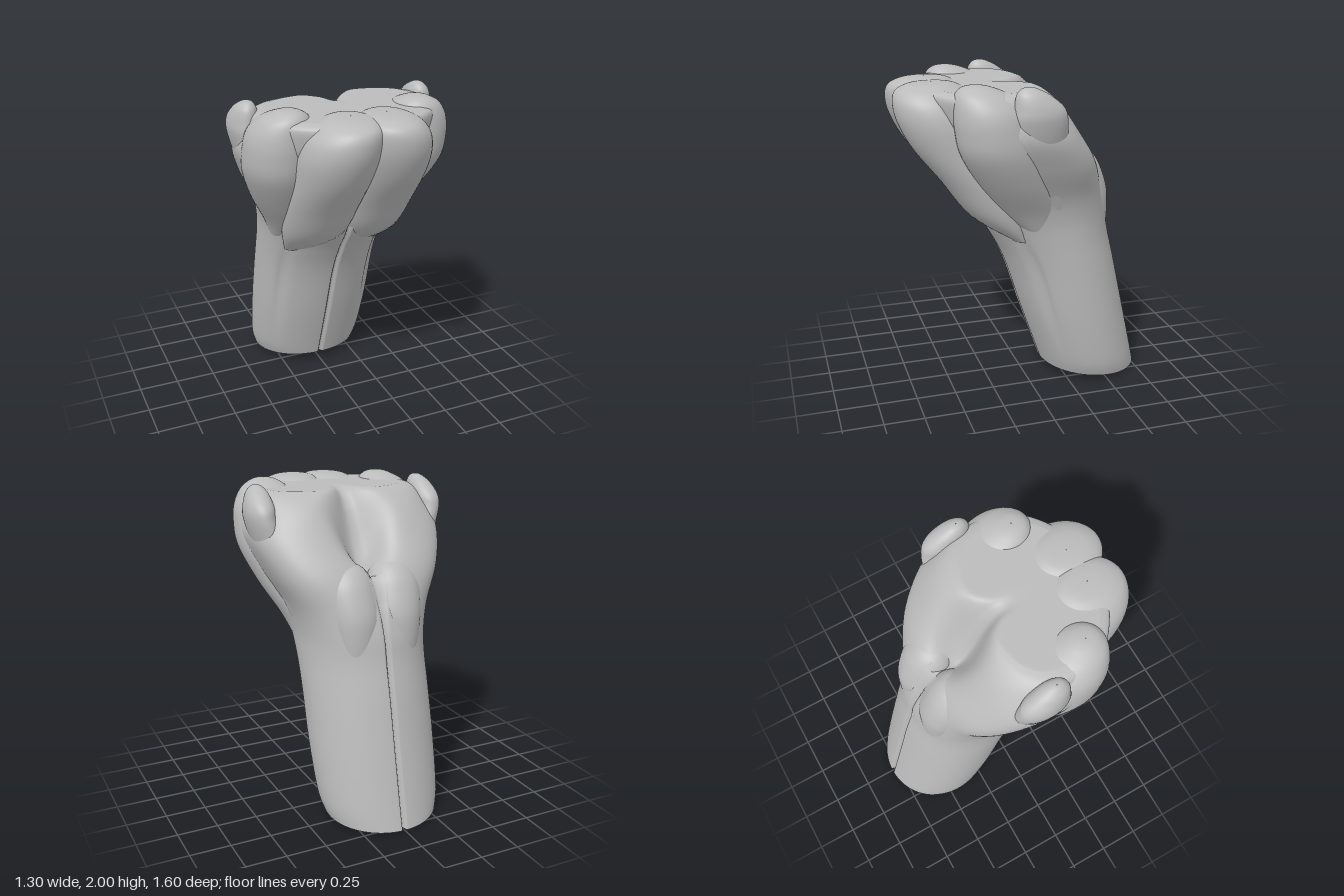
import * as THREE from 'three';

const SEG = 320;
const clayGrey = new THREE.MeshStandardMaterial({ color: 0xbbbbbb });
clayGrey.name = 'clayGrey';

// Smooth surface through closed rings of points, ordered upwards
function loft(rings) {
  const n = rings[0].length, pos = [], idx = [];
  rings.forEach(r => r.forEach(p => pos.push(p.x, p.y, p.z)));
  for (let j = 0; j < rings.length - 1; j++) {
    for (let i = 0; i < n; i++) {
      const a = j * n + i, b = j * n + (i + 1) % n;
      idx.push(a, a + n, b, b, a + n, b + n);
    }
  }
  const g = new THREE.BufferGeometry();
  g.setAttribute('position', new THREE.Float32BufferAttribute(pos, 3));
  g.setIndex(idx);
  g.computeVertexNormals();
  return g;
}

// Catmull-Rom through rows of numbers
function sampleRows(rows, steps) {
  const out = [], last = rows.length - 1;
  for (let s = 0; s <= steps; s++) {
    const u = s / steps * last, k = Math.min(Math.floor(u), last - 1), t = u - k;
    const row = i => rows[Math.max(0, Math.min(last, i))];
    out.push(rows[0].map((_, c) => {
      const [a, b, d, e] = [row(k - 1)[c], row(k)[c], row(k + 1)[c], row(k + 2)[c]];
      return b + 0.5 * t * (d - a + t * (2 * a - 5 * b + 4 * d - e + t * (3 * (b - d) + e - a)));
    }));
  }
  return out;
}

const bell = (v, s) => Math.exp(-(v / s) * (v / s));
const power = (v, e) => Math.sign(v) * Math.pow(Math.abs(v), e);
const smooth = THREE.MathUtils.smoothstep;

// Horizontal body section with a centre crease; f shrinks it for the caps
function bodyRing([y, w, back, front], f = 1) {
  const zc = (back + front) / 2, d = (front - back) / 2, ring = [];
  for (let i = 0; i < SEG; i++) {
    const a = i / SEG * Math.PI * 2, sin = Math.sin(a);
    // towards the top the back grows squarer and the front narrower
    const e = sin < 0 ? 1 - 0.38 * smooth(y, 0.8, 1.6) : 0.95 + 0.2 * smooth(y, 1.2, 1.7);
    const x = w * power(Math.cos(a), e), s = power(sin, e);
    let inset = 0.035 * bell(x, 0.009);
    // shallow folds down the front of the stem
    if (s > 0) inset += 0.025 * bell(Math.abs(x) - 0.31, 0.03) * bell(y - 0.7, 0.35);
    const z = zc + f * (d * s - Math.sign(s) * inset);
    // slanted foot
    let py = y + 0.09 * (z - zc) * Math.max(0, 1 - y / 0.8);
    // V-shaped hollow at the back of the top, narrowing forwards
    if (py > 1.3) {
      const spread = 0.15 - 0.11 * smooth(z, -0.2, 0.08);
      py -= 0.34 * bell(x * f, spread) * bell(z + 0.16, 0.16);
    }
    ring.push(new THREE.Vector3(x * f, py, z));
  }
  return ring;
}

// Rounded lobe from horizontal sections [y, x, half width, z, half depth]
function lobe(stations, side) {
  return loft(sampleRows(stations, 54).map(([y, x, w, z, d]) =>
    Array.from({ length: 64 }, (_, i) => {
      const a = i / 64 * Math.PI * 2;
      return new THREE.Vector3(
        x * side + Math.max(w, 0.002) * Math.cos(a), y, z + Math.max(d, 0.002) * Math.sin(a));
    })));
}

export function createModel() {
  const group = new THREE.Group();
  const add = (name, geometry) => {
    const m = new THREE.Mesh(geometry, clayGrey);
    m.name = name;
    group.add(m);
  };

  // Body sections: height, half width, back z, front z
  const sections = [
    [0.03, 0.355, -0.80, -0.14],
    [0.15, 0.385, -0.77, -0.10],
    [0.45, 0.4, -0.70, 0.0],
    [0.8, 0.4, -0.62, 0.11],
    [1.0, 0.4, -0.57, 0.21],
    [1.15, 0.41, -0.54, 0.31],
    [1.3, 0.45, -0.49, 0.38],
    [1.5, 0.55, -0.41, 0.48],
    [1.7, 0.62, -0.28, 0.60],
    [1.85, 0.575, -0.18, 0.68],
    [1.93, 0.54, -0.09, 0.69],
    [1.955, 0.47, -0.03, 0.64],
  ];
  const rings = sampleRows(sections, 66).map(r => bodyRing(r));
  const top = sections[sections.length - 1];
  for (let f = 0.95; f > 0; f -= 0.05) rings.push(bodyRing(top, f));
  rings.push(bodyRing(top, 0.001));
  add('body', loft(rings));

  // Flat slanted foot
  add('foot', loft([bodyRing(sections[0], 0.001), bodyRing(sections[0])]));

  const lobes = {
    frontLobe: [
      [1.0, 0.18, 0.14, 0.06, 0.06], [1.17, 0.175, 0.2, 0.19, 0.18],
      [1.4, 0.175, 0.225, 0.33, 0.215], [1.6, 0.17, 0.23, 0.45, 0.25],
      [1.75, 0.16, 0.235, 0.52, 0.26], [1.86, 0.145, 0.22, 0.56, 0.245],
      [1.93, 0.125, 0.185, 0.575, 0.215], [1.965, 0.115, 0.135, 0.575, 0.16],
      [1.979, 0.11, 0.08, 0.57, 0.095], [1.983, 0.11, 0, 0.57, 0],
    ],
    sideLobe: [
      [1.05, 0.31, 0.06, -0.04, 0.07], [1.2, 0.33, 0.1, 0.02, 0.17],
      [1.4, 0.37, 0.17, 0.13, 0.22], [1.6, 0.42, 0.2, 0.23, 0.24],
      [1.75, 0.43, 0.2, 0.275, 0.23], [1.86, 0.425, 0.185, 0.30, 0.21],
      [1.94, 0.41, 0.145, 0.34, 0.16], [1.98, 0.4, 0.09, 0.37, 0.1],
      [1.996, 0.4, 0.045, 0.38, 0.05], [2.0, 0.4, 0, 0.38, 0],
    ],
    outerLobe: [
      [1.1, 0.34, 0.04, -0.16, 0.08], [1.4, 0.41, 0.08, -0.06, 0.13],
      [1.65, 0.5, 0.1, 0.02, 0.16], [1.8, 0.555, 0.09, 0.04, 0.16],
      [1.88, 0.56, 0.085, 0.05, 0.145], [1.95, 0.555, 0.065, 0.085, 0.1],
      [1.985, 0.55, 0.038, 0.105, 0.055], [1.997, 0.55, 0.018, 0.11, 0.025],
      [2.0, 0.55, 0, 0.11, 0],
    ],
    backLobe: [
      [1.0, 0.14, 0.1, -0.45, 0.08], [1.15, 0.14, 0.14, -0.4, 0.135],
      [1.28, 0.14, 0.16, -0.37, 0.155], [1.42, 0.15, 0.16, -0.32, 0.155],
      [1.5, 0.15, 0.13, -0.3, 0.125], [1.55, 0.15, 0.075, -0.29, 0.075],
      [1.57, 0.15, 0, -0.28, 0],
    ],
  };
  for (const [name, stations] of Object.entries(lobes)) {
    add(name + 'Left', lobe(stations, 1));
    add(name + 'Right', lobe(stations, -1));
  }
  return group;
}
